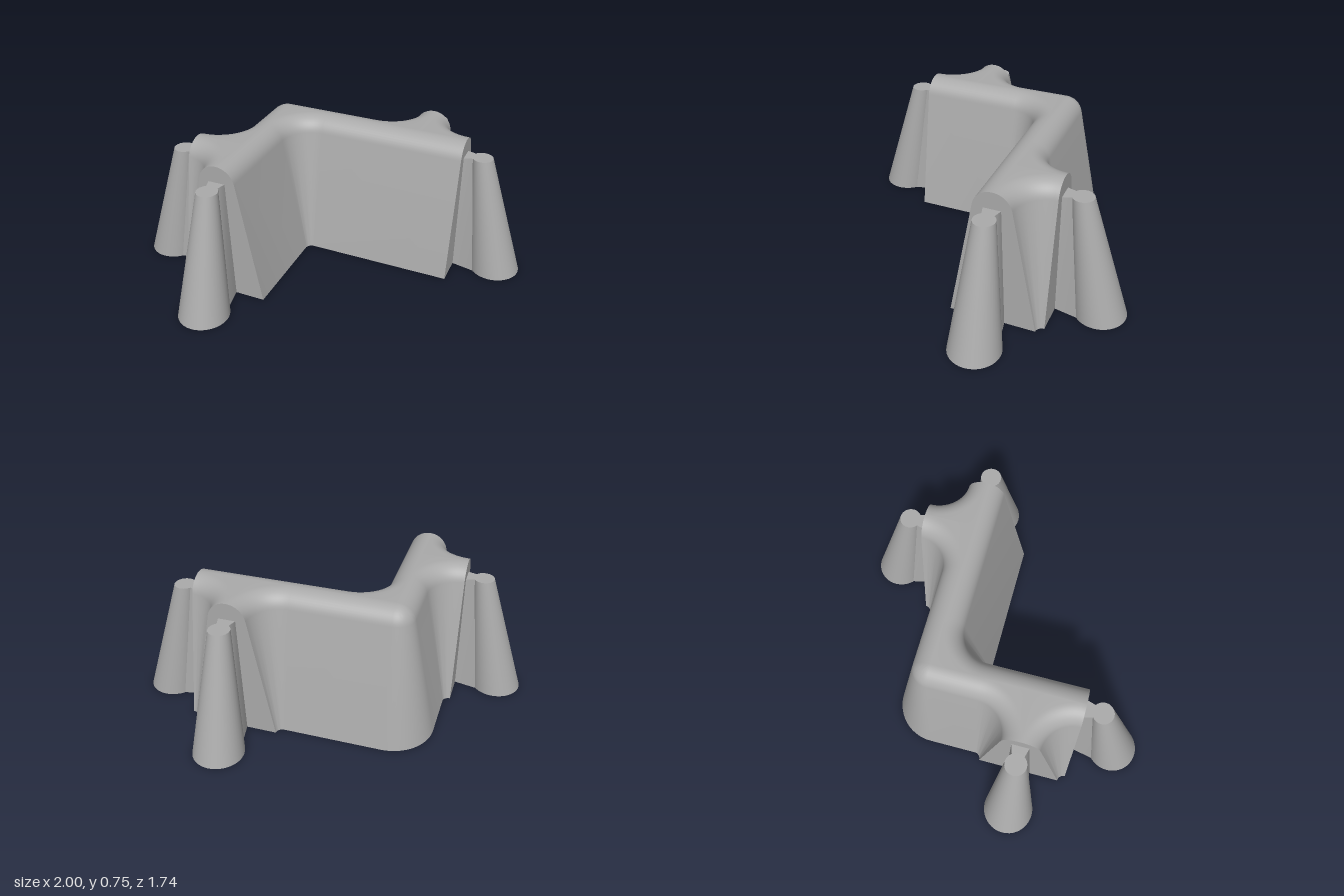
import * as THREE from 'three';
import { toCreasedNormals } from 'three/addons/utils/BufferGeometryUtils.js';

const grey = new THREE.MeshStandardMaterial({ color: 0xaaaaaa });
grey.name = 'grey';

const R = 0.26;          // fillet radius along the ridge
const HALF = 0.225;      // half width of the wall at its foot
const TOP = 0.745;
const STEPS = 14;
const rad = THREE.MathUtils.degToRad;

// Outline as arcs: centre x, centre z, radius, start and end direction of the outward normal
const ARCS = [
  [0.65, -0.26, 0, 90, 90],     // end of the long arm
  [-0.13, 0, R, 90, 0],         // inside corner
  [-0.39, 0.52, 0, 0, 0],       // end of the short arm
  [-0.65, 0.52, R, 180, 90],    // left branch
  [-0.65, 0, R, 270, 180],
  [-0.39, -0.26, 0, 180, 270],  // outside corner
  [0.13, -0.52, R, 270, 180],   // back branch
  [0.65, -0.52, R, 0, -90],
];

function arcPoints([cx, cz, r, a0, a1], w) {
  const n = a0 === a1 ? 0 : STEPS;
  return Array.from({ length: n + 1 }, (_, i) => {
    const a = rad(a0 + (a1 - a0) * (n ? i / n : 0));
    return new THREE.Vector2(cx + (w - r) * Math.cos(a), cz + (w - r) * Math.sin(a));
  });
}
const outline = (w) => ARCS.flatMap((arc) => arcPoints(arc, w));

// Tapered wall with a rounded ridge, stacked from offset outlines
function wallGeometry() {
  const r = 0.1, lean = rad(10.8);
  const levels = [[HALF, 0]];
  for (let i = 0; i <= 10; i++) {
    const a = lean + (Math.PI / 2 - lean) * (i / 10);
    levels.push([i === 10 ? 0 : r * Math.cos(a), TOP - r + r * Math.sin(a)]);
  }
  const pos = [];
  const put = (p, y) => pos.push(p.x, y, p.y);
  const flat = (a, b, c, y, up) => {
    const cross = (b.x - a.x) * (c.y - a.y) - (b.y - a.y) * (c.x - a.x);
    const order = (cross < 0) === up ? [a, b, c] : [a, c, b];
    order.forEach((p) => put(p, y));
  };

  // sides
  for (let i = 0; i < levels.length - 1; i++) {
    const [w0, y0] = levels[i], [w1, y1] = levels[i + 1];
    const lo = outline(w0), hi = outline(w1);
    lo.forEach((a, j) => {
      const k = (j + 1) % lo.length;
      put(a, y0); put(hi[j], y1); put(hi[k], y1);
      put(a, y0); put(hi[k], y1); put(lo[k], y0);
    });
  }

  // level areas of the ridge inside each fillet
  for (const arc of ARCS.filter((f) => f[2] > 0)) {
    const pts = arcPoints(arc, 0);
    const first = pts[0], last = pts[pts.length - 1];
    const corner = new THREE.Vector2(first.x + last.x - arc[0], first.y + last.y - arc[1]);
    for (let i = 0; i < pts.length - 1; i++) flat(corner, pts[i], pts[i + 1], TOP, true);
  }

  // underside
  const foot = outline(HALF);
  for (const [a, b, c] of THREE.ShapeUtils.triangulateShape(foot, [])) {
    flat(foot[a], foot[b], foot[c], 0, false);
  }

  const geo = new THREE.BufferGeometry();
  geo.setAttribute('position', new THREE.Float32BufferAttribute(pos, 3));
  return toCreasedNormals(geo, 0.6);
}

// Leaning round post; local +z points away from the wall end
const POST_H = 0.655;
function postGeometry() {
  const geo = new THREE.CylinderGeometry(0.055, 0.133, POST_H, 40);
  geo.translate(0, POST_H / 2, 0);
  const shear = new THREE.Matrix4().set(
    1, 0, 0, 0,
    0, 1, 0, 0,
    0, -0.127 / POST_H, 1, 0.217,
    0, 0, 0, 1);
  return geo.applyMatrix4(shear);
}

// Web joining a post to the wall end
function webGeometry() {
  const geo = new THREE.BoxGeometry(2, 1, 1);
  const p = geo.attributes.position;
  for (let i = 0; i < p.count; i++) {
    const top = p.getY(i) > 0, outer = p.getZ(i) > 0;
    const half = top ? (outer ? 0.03 : 0.045) : (outer ? 0.09 : 0.065);
    const z = outer ? (top ? 0.05 : 0.122) : 0;
    p.setXYZ(i, Math.sign(p.getX(i)) * half, top ? POST_H : 0, z);
  }
  geo.computeVertexNormals();
  return geo;
}

export function createModel() {
  const model = new THREE.Group();
  model.name = 'cornerWall';
  const add = (parent, name, geo) => {
    const mesh = new THREE.Mesh(geo, grey);
    mesh.name = name;
    parent.add(mesh);
  };
  add(model, 'wall', wallGeometry());

  // one connector at each wall end
  const post = postGeometry(), web = webGeometry();
  const ends = [
    ['front', -0.39, 0.52, 0],
    ['left', 0.65, -0.26, 90],
    ['back', 0.39, -0.52, 180],
    ['right', -0.65, 0.26, -90],
  ];
  for (const [side, x, z, turn] of ends) {
    const connector = new THREE.Group();
    connector.name = side + 'Connector';
    connector.position.set(x, 0, z);
    connector.rotation.y = rad(turn);
    add(connector, side + 'Post', post);
    add(connector, side + 'Web', web);
    model.add(connector);
  }
  return model;
}
